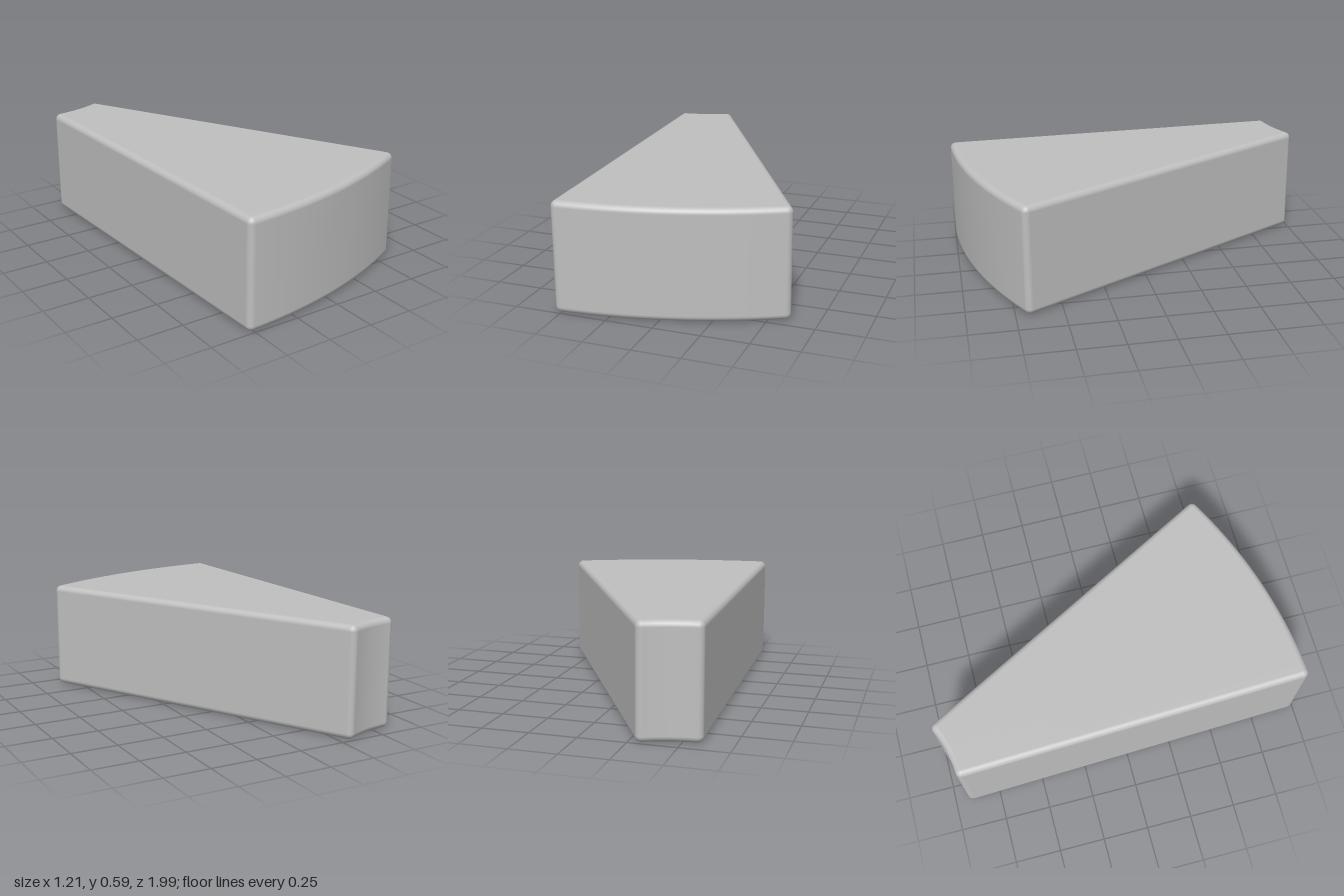
import * as THREE from 'three';

// Ring-segment wedge: plan angles are measured from +z towards +x around (CX, CZ)
const CX = -0.6245, CZ = -1.61, R_IN = 0.685, R_OUT = 2.61;
const A0 = THREE.MathUtils.degToRad(1.98), A1 = THREE.MathUtils.degToRad(28.4);
const HEIGHT = 0.59, EDGE = 0.032;
const CORNER = 6, ARC = 32, ROUND = 6;

// Plan outline: points inset by the edge radius, each with its outward angle
function outline() {
  const pts = [];
  const ro = R_OUT - EDGE, ri = R_IN + EDGE;
  const dO = Math.asin(EDGE / ro), dI = Math.asin(EDGE / ri);
  const add = (r, a, n) => pts.push({ x: CX + r * Math.sin(a), z: CZ + r * Math.cos(a), n });
  const run = (count, r, aFrom, aTo, nFrom, nTo) => {
    for (let i = 0; i <= count; i++) {
      const t = i / count;
      add(r, aFrom + (aTo - aFrom) * t, nFrom + (nTo - nFrom) * t);
    }
  };
  const o0 = A0 + dO, o1 = A1 - dO, i0 = A0 + dI, i1 = A1 - dI, q = Math.PI / 2;
  run(CORNER, ro, o0, o0, A0 - q, o0);             // outer left corner
  run(ARC, ro, o0, o1, o0, o1);                    // outer arc
  run(CORNER, ro, o1, o1, o1, A1 + q);             // outer right corner
  run(CORNER, ri, i1, i1, A1 + q, i1 + 2 * q);     // inner right corner
  run(ARC, ri, i1, i0, i1 + 2 * q, i0 + 2 * q);    // inner arc
  run(CORNER, ri, i0, i0, i0 + 2 * q, A0 + 3 * q); // inner left corner
  return pts;
}

function wedgeGeometry() {
  const pts = outline(), N = pts.length;
  const position = [], normal = [], index = [];

  // Rows from bottom to top: a quarter round, the straight wall, a quarter round
  const rows = [];
  for (let i = 0; i <= ROUND; i++) rows.push({ phi: (i / ROUND - 1) * Math.PI / 2, y: EDGE });
  for (let i = 0; i <= ROUND; i++) rows.push({ phi: (i / ROUND) * Math.PI / 2, y: HEIGHT - EDGE });
  for (const { phi, y } of rows) {
    const c = Math.cos(phi), s = Math.sin(phi);
    for (const p of pts) {
      const nx = c * Math.sin(p.n), nz = c * Math.cos(p.n);
      normal.push(nx, s, nz);
      position.push(p.x + EDGE * nx, y + EDGE * s, p.z + EDGE * nz);
    }
  }
  for (let j = 0; j < rows.length - 1; j++) {
    for (let i = 0; i < N; i++) {
      const k = (i + 1) % N;
      const a = j * N + i, b = j * N + k, c = b + N, d = a + N;
      index.push(a, b, c, a, c, d);
    }
  }

  // Flat top and bottom: strips between the outer and inner arcs
  const top = (rows.length - 1) * N;
  for (let i = CORNER + 1; i < CORNER + 1 + ARC; i++) {
    const a = i, b = i + 1, c = N - 2 - i, d = N - 1 - i;
    index.push(top + a, top + b, top + c, top + a, top + c, top + d);
    index.push(a, c, b, a, d, c);
  }

  const g = new THREE.BufferGeometry();
  g.setAttribute('position', new THREE.Float32BufferAttribute(position, 3));
  g.setAttribute('normal', new THREE.Float32BufferAttribute(normal, 3));
  g.setIndex(index);
  return g;
}

export function createModel() {
  const group = new THREE.Group();
  group.name = 'wedgeBlock';
  const grey = new THREE.MeshStandardMaterial({ color: 0xbfbfbf });
  grey.name = 'light grey';
  const wedge = new THREE.Mesh(wedgeGeometry(), grey);
  wedge.name = 'roundedWedge';
  group.add(wedge);
  return group;
}
